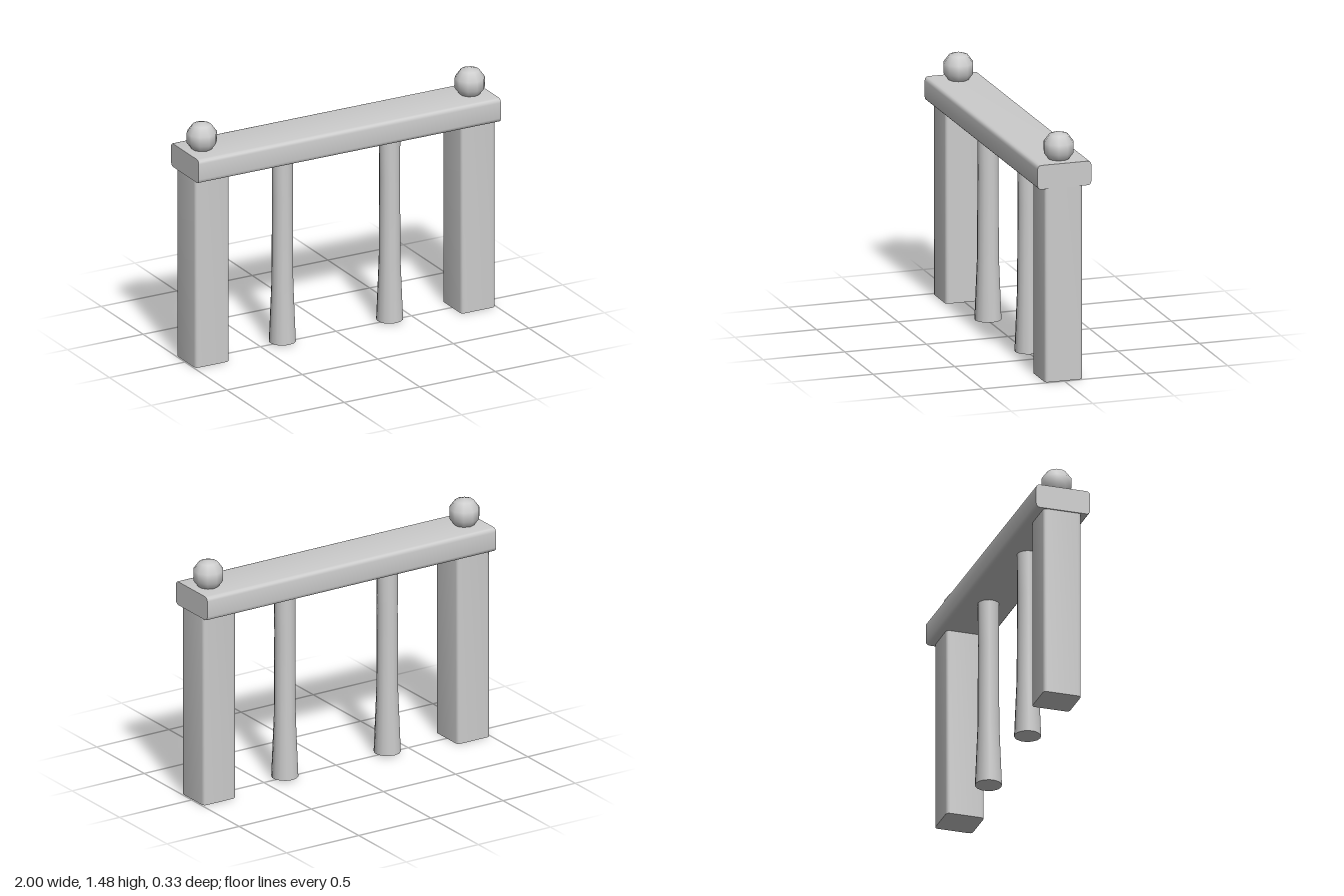
import * as THREE from 'three';
import { toCreasedNormals } from 'three/addons/utils/BufferGeometryUtils.js';

const material = new THREE.MeshStandardMaterial({ color: 0xcccccc });

function addMesh(group, name, geometry, x, y, z) {
  const mesh = new THREE.Mesh(geometry, material);
  mesh.name = name;
  mesh.position.set(x, y, z);
  group.add(mesh);
  return mesh;
}

// Extruded bar with rounded long edges, centred, running along z
function roundedBar(w, h, r, length) {
  const a = w / 2, b = h / 2;
  const shape = new THREE.Shape();
  shape.moveTo(-a + r, -b);
  shape.lineTo(a - r, -b);
  shape.quadraticCurveTo(a, -b, a, -b + r);
  shape.lineTo(a, b - r);
  shape.quadraticCurveTo(a, b, a - r, b);
  shape.lineTo(-a + r, b);
  shape.quadraticCurveTo(-a, b, -a, b - r);
  shape.lineTo(-a, -b + r);
  shape.quadraticCurveTo(-a, -b, -a + r, -b);
  const geometry = new THREE.ExtrudeGeometry(shape, { depth: length, bevelEnabled: false, curveSegments: 3 });
  geometry.translate(0, 0, -length / 2);
  return toCreasedNormals(geometry, 0.7);
}

export function createModel() {
  const group = new THREE.Group();
  group.name = 'gateway';

  // Lintel across the top
  const beam = roundedBar(0.33, 0.145, 0.025, 2).rotateY(Math.PI / 2);
  addMesh(group, 'lintel', beam, 0, 1.239, 0);

  // Square end post with softened corners
  const post = roundedBar(0.225, 0.23, 0.022, 1.18).rotateX(Math.PI / 2);

  // Slim column, flared towards the foot
  const profile = [[0, 0.01], [0.079, 0.01], [0.064, 0.38], [0.061, 0.9], [0.063, 1.18], [0, 1.18]]
    .map(([x, y]) => new THREE.Vector2(x, y));
  const column = toCreasedNormals(new THREE.LatheGeometry(profile, 14), 0.7);

  // Faceted ball finial, smooth shaded
  const ball = new THREE.SphereGeometry(0.0945, 10, 5).rotateY(Math.PI / 2);

  for (const side of [-1, 1]) {
    const label = side > 0 ? 'left' : 'right';
    addMesh(group, label + 'Post', post, side * 0.88, 0.59, 0);
    addMesh(group, label + 'Column', column, side * 0.355, 0, 0);
    addMesh(group, label + 'BallFinial', ball, side * 0.887, 1.381, -0.003);
  }
  return group;
}
